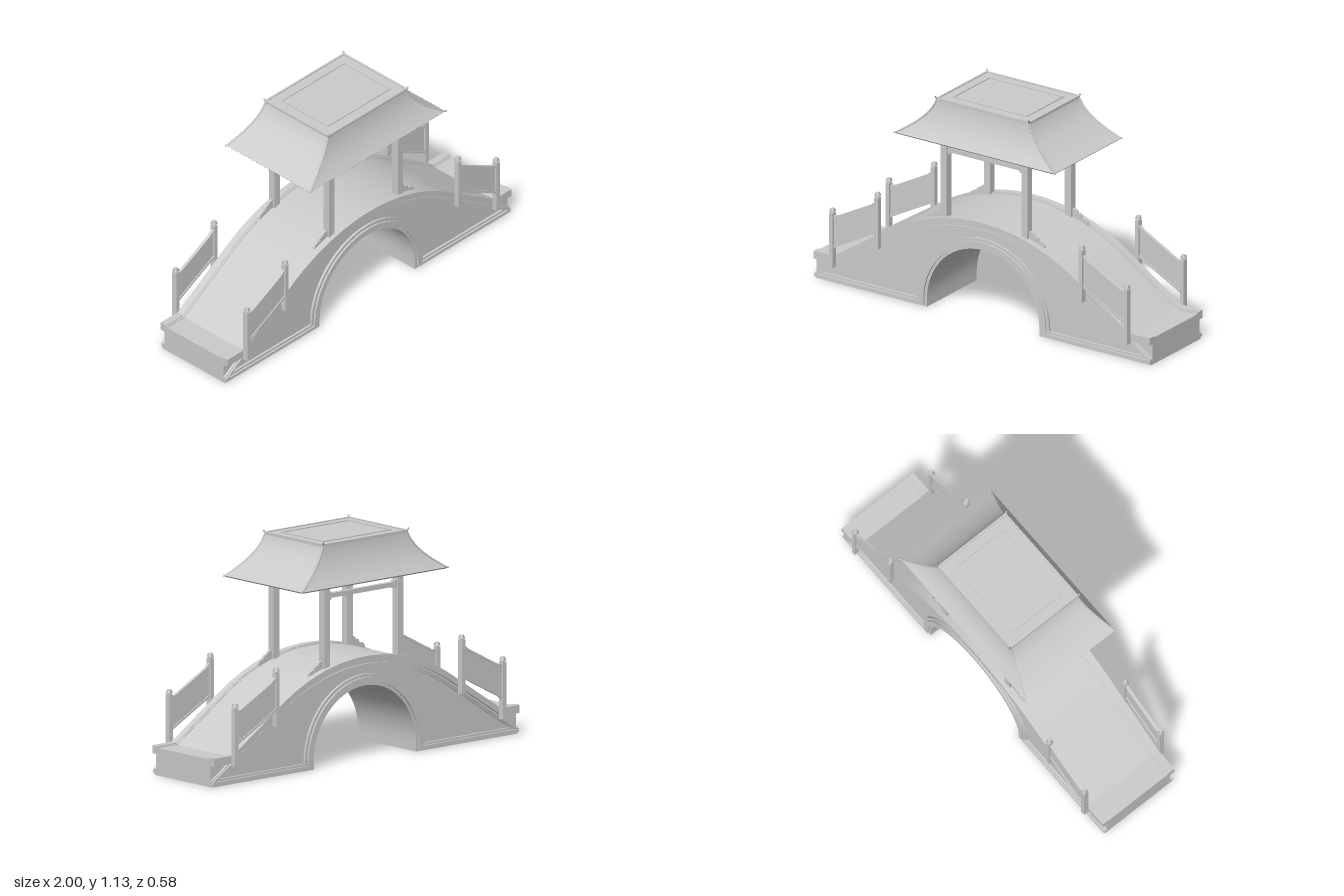
import * as THREE from 'three';
import { toCreasedNormals } from 'three/addons/utils/BufferGeometryUtils.js';

const material = new THREE.MeshStandardMaterial({ color: 0xcccccc, side: THREE.DoubleSide });
const V2 = (x, y) => new THREE.Vector2(x, y);

function add(parent, name, geometry, x = 0, y = 0, z = 0) {
  const mesh = new THREE.Mesh(geometry, material);
  mesh.name = name;
  mesh.position.set(x, y, z);
  parent.add(mesh);
  return mesh;
}

function box(parent, name, [x0, x1], [y0, y1], [z0, z1]) {
  const g = new THREE.BoxGeometry(x1 - x0, y1 - y0, z1 - z0);
  return add(parent, name, g, (x0 + x1) / 2, (y0 + y1) / 2, (z0 + z1) / 2);
}

// Extrudes an outline (with an optional hole) between two depths
function slab(parent, name, points, z0, z1, hole) {
  const shape = new THREE.Shape(points);
  if (hole) shape.holes.push(new THREE.Path(hole));
  const g = new THREE.ExtrudeGeometry(shape, { depth: z1 - z0, bevelEnabled: false });
  return add(parent, name, toCreasedNormals(g, 0.4), 0, 0, z0);
}

// Fall of the bridge line from its crown: round in the middle, straight ramps
const BEND = 0.545, SLOPE = 0.65, BEND_DROP = 1 - Math.sqrt(1 - BEND * BEND);
function drop(x) {
  const a = Math.abs(x);
  return a < BEND ? 1 - Math.sqrt(1 - a * a) : BEND_DROP + (a - BEND) * SLOPE;
}

// Bridge line at a given crown height, levelled off at a minimum height
function line(crown, floor) {
  const kink = Math.min(1, BEND + (crown - BEND_DROP - floor) / SLOPE);
  const xs = [];
  for (let i = -16; i <= 16; i++) xs.push((i / 16) * BEND);
  xs.unshift(-kink);
  xs.push(kink);
  return { kink, points: xs.map((x) => V2(x, Math.max(floor, crown - drop(x)))) };
}

function strip(crownTop, floorTop, crownLow, floorLow) {
  const edge = (c, f) => [V2(-1, f), ...line(c, f).points, V2(1, f)];
  return [...edge(crownTop, floorTop), ...edge(crownLow, floorLow).reverse()];
}

// Arched opening, from right foot over to left foot
function arch(r, floor) {
  const pts = [V2(r, floor)];
  for (let i = 0; i <= 28; i++) {
    const a = (i / 28) * Math.PI;
    pts.push(V2(r * Math.cos(a), 0.04 + r * Math.sin(a)));
  }
  return [...pts, V2(-r, floor)];
}

// Spandrel outline: bridge line above, level base, arch below
function spandrel(crown, floor, r) {
  const { kink, points } = line(crown, floor);
  const ends = kink === 1;
  return [...(ends ? [V2(-1, floor)] : []), ...points, ...(ends ? [V2(1, floor)] : []), ...arch(r, floor)];
}

// Closed shell from rectangular rings [half x, half z, y]
function ringShell(rings) {
  const pos = [];
  const corner = ([hx, hz, y], k) => [k % 4 < 2 ? hx : -hx, y, k % 4 === 0 || k % 4 === 3 ? hz : -hz];
  for (let i = 0; i < rings.length - 1; i++) {
    for (let k = 0; k < 4; k++) {
      const a = corner(rings[i], k), b = corner(rings[i], k + 1);
      const c = corner(rings[i + 1], k + 1), d = corner(rings[i + 1], k);
      pos.push(...a, ...b, ...c, ...a, ...c, ...d);
    }
  }
  const g = new THREE.BufferGeometry();
  g.setAttribute('position', new THREE.Float32BufferAttribute(pos, 3));
  return toCreasedNormals(g, 0.5);
}

function buildBridge(group) {
  slab(group, 'bridgeBody', [V2(-1, 0), V2(-1, 0.12), ...line(0.5, 0.12).points, V2(1, 0.12), V2(1, 0), ...arch(0.335, 0)], -0.2, 0.2);
  slab(group, 'deck', strip(0.517, 0.138, 0.49, 0.105), -0.19, 0.19);
  for (const s of [-1, 1]) {
    const side = (name, z0, z1, pts, hole) => slab(group, name, pts, Math.min(s * z0, s * z1), Math.max(s * z0, s * z1), hole);
    side('curb', 0.19, 0.227, strip(0.524, 0.146, 0.49, 0.105));
    side('curbInnerLip', 0.18, 0.19, strip(0.521, 0.142, 0.5, 0.12));
    side('sideFrame', 0.195, 0.212, spandrel(0.49, 0, 0.335), spandrel(0.463, 0.036, 0.392));
    side('sideMoulding', 0.205, 0.221, spandrel(0.484, 0.01, 0.35), spandrel(0.472, 0.025, 0.377));
  }
}

// Fence section on one ramp, at the +x +z corner
function buildFence() {
  const fence = new THREE.Group();
  fence.name = 'fence';
  for (const [x, y0, y1] of [[0.608, 0.255, 0.55], [0.877, 0.095, 0.405]]) {
    box(fence, 'fencePost', [x - 0.011, x + 0.011], [y0, y1 - 0.025], [0.227, 0.255]);
    box(fence, 'fencePostNeck', [x - 0.008, x + 0.008], [y1 - 0.025, y1 - 0.018], [0.231, 0.251]);
    const cap = new THREE.CylinderGeometry(0.011, 0.018, 0.018, 4).rotateY(Math.PI / 4);
    add(fence, 'fencePostCap', cap, x, y1 - 0.009, 0.241);
  }
  // A sloping rail whose ends flare to meet the posts
  const rail = (x, y, flare) => [V2(0.617, y + 0.135 + flare), V2(0.645, y + 0.115), V2(0.84, y + 0.012), V2(0.868, y + flare)];
  const band = (hi, lo, f0, f1) => [...rail(0, hi, f0), ...rail(0, lo, f1).reverse()];
  slab(fence, 'fencePanel', band(0.355, 0.21, 0, 0), 0.238, 0.244);
  slab(fence, 'fenceTopRail', band(0.362, 0.35, 0.006, 0), 0.233, 0.249);
  slab(fence, 'fenceBottomRail', band(0.214, 0.202, 0, -0.006), 0.233, 0.249);
  return fence;
}

// Pavilion post with its scrolled foot bracket, at the +x +z corner
function buildPost() {
  const post = new THREE.Group();
  post.name = 'pavilionPost';
  box(post, 'post', [0.222, 0.26], [0.47, 1.1], [0.166, 0.205]);
  const foot = new THREE.Shape([V2(0.255, 0.46), V2(0.35, 0.44), V2(0.35, 0.465)]);
  foot.quadraticCurveTo(0.342, 0.492, 0.312, 0.487);
  foot.quadraticCurveTo(0.312, 0.512, 0.29, 0.508);
  foot.quadraticCurveTo(0.284, 0.53, 0.255, 0.526);
  slab(post, 'footBracket', foot.getPoints(6), 0.178, 0.192);
  return post;
}

function buildRoof(group) {
  const outer = [];
  for (let i = 0; i <= 12; i++) {
    const t = i / 12, k = (1 - t) * (1 - t);
    outer.push([0.275 + 0.06 * (1 - t) + 0.14 * k, 0.212 + 0.012 * (1 - t) + 0.06 * k, 0.911 + 0.199 * t]);
  }
  const inner = outer.map(([x, z, y]) => [x - 0.006, z - 0.006, y - 0.007]).reverse();
  add(group, 'roofShell', ringShell([...inner, ...outer]));
  box(group, 'roofTop', [-0.272, 0.272], [1.098, 1.11], [-0.209, 0.209]);

  // Raised rectangular borders on the flat top
  const rect = (x, z) => [V2(-x, -z), V2(x, -z), V2(x, z), V2(-x, z)];
  for (const [name, x, z, w, h] of [['roofTopBorder', 0.279, 0.216, 0.01, 0.014], ['roofTopPanelBorder', 0.222, 0.158, 0.007, 0.012]]) {
    const shape = new THREE.Shape(rect(x, z));
    shape.holes.push(new THREE.Path(rect(x - w, z - w)));
    const g = new THREE.ExtrudeGeometry(shape, { depth: h, bevelEnabled: false }).rotateX(-Math.PI / 2);
    add(group, name, g, 0, 1.115 - h, 0);
  }
  // Hip ridges ending in small upturned horns
  for (const sx of [-1, 1]) for (const sz of [-1, 1]) {
    const pts = outer.map(([x, z, y]) => new THREE.Vector3(sx * x, y, sz * z));
    pts.unshift(new THREE.Vector3(sx * 0.481, 0.911, sz * 0.289));
    pts.push(new THREE.Vector3(sx * 0.279, 1.122, sz * 0.221));
    add(group, 'hipRidge', new THREE.TubeGeometry(new THREE.CatmullRomCurve3(pts), 30, 0.005, 6));
  }
}

export function createModel() {
  const model = new THREE.Group();
  model.name = 'coveredBridge';
  buildBridge(model);
  for (const sx of [-1, 1]) for (const sz of [-1, 1]) {
    for (const part of [buildFence(), buildPost()]) {
      part.scale.set(sx, 1, sz);
      model.add(part);
    }
  }
  // Long tie beams with thicker ends
  for (const z of [-0.185, 0.185]) {
    box(model, 'tieBeam', [-0.225, 0.225], [0.836, 0.86], [z - 0.01, z + 0.01]);
    for (const s of [-1, 1]) {
      const x = s * 0.215;
      box(model, 'tieBeamEnd', [x - 0.01, x + 0.01], [0.828, 0.868], [z - 0.013, z + 0.013]);
    }
  }
  buildRoof(model);
  return model;
}
